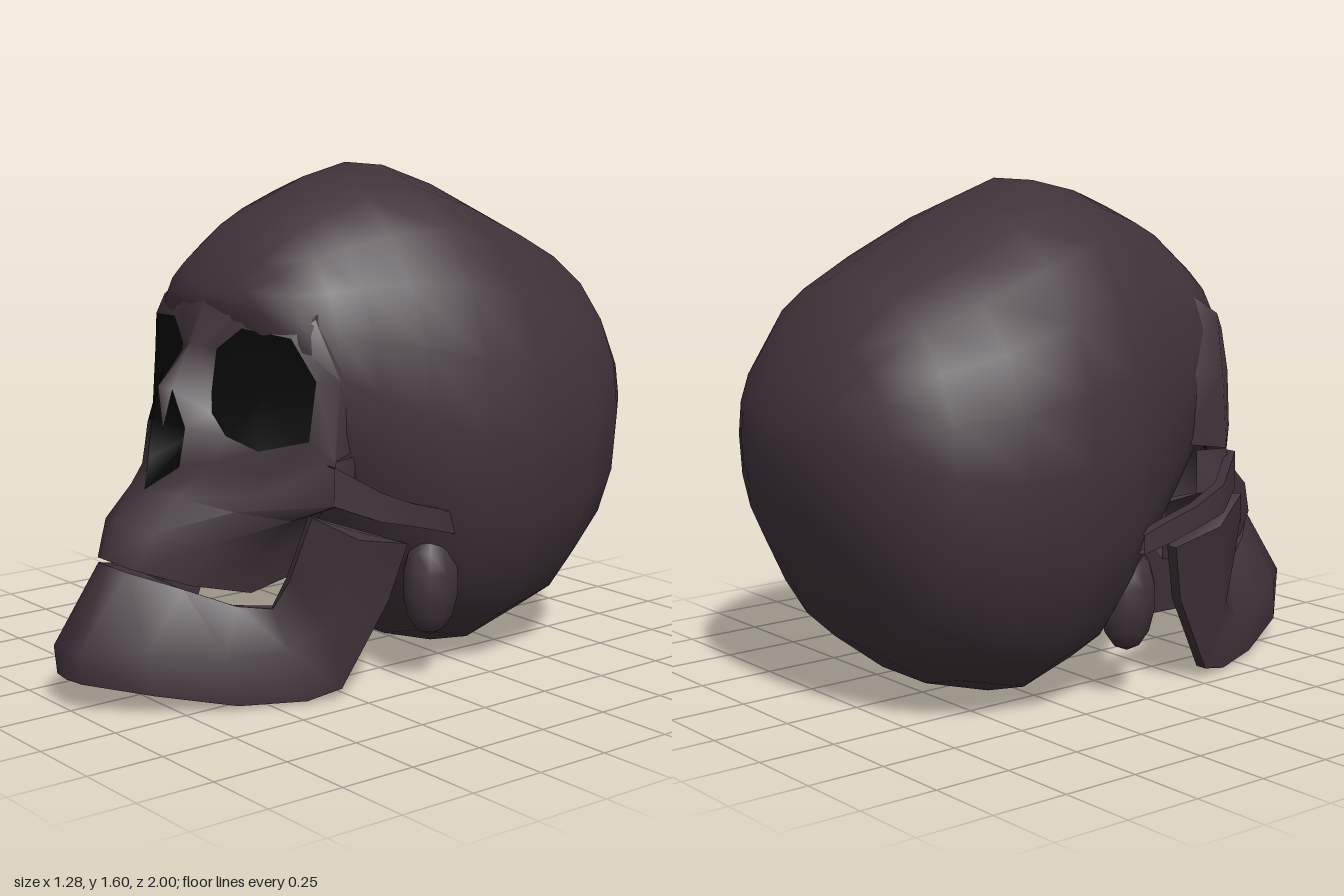
import * as THREE from 'three';
import { toCreasedNormals } from 'three/addons/utils/BufferGeometryUtils.js';

const bone = new THREE.MeshStandardMaterial({ color: 0x3f333a, side: THREE.DoubleSide });
bone.name = 'dark bone';
const hollow = new THREE.MeshStandardMaterial({ color: 0x080808, side: THREE.DoubleSide });
hollow.name = 'black hollow';

// Triangles between neighbouring rows of points, skipping collapsed ones
function grid(rows) {
  const tris = [];
  const same = (p, q) => p.every((v, i) => v === q[i]);
  const add = (a, b, c) => { if (!same(a, b) && !same(b, c) && !same(a, c)) tris.push([a, b, c]); };
  for (let i = 0; i < rows.length - 1; i++) {
    for (let j = 0; j < rows[i].length - 1; j++) {
      const a = rows[i][j], b = rows[i][j + 1], c = rows[i + 1][j + 1], d = rows[i + 1][j];
      add(a, b, c);
      add(a, c, d);
    }
  }
  return tris;
}

const closed = (ring) => [...ring, ring[0]];

// Fan from a centre point to an open or closed line of points
const fan = (centre, line) => grid([line.map(() => centre), line]);

// Copies triangles to the other side of x = 0
function mirrored(tris) {
  const flip = ([x, y, z]) => [-x, y, z];
  return [...tris, ...tris.map(([a, b, c]) => [flip(a), flip(c), flip(b)])];
}

function part(name, tris, material) {
  const geometry = new THREE.BufferGeometry();
  geometry.setAttribute('position', new THREE.Float32BufferAttribute(tris.flat(2), 3));
  const mesh = new THREE.Mesh(toCreasedNormals(geometry, 1.0), material);
  mesh.name = name;
  return mesh;
}

// Braincase: rounded sections from back to front
function braincase() {
  // z, top, bottom, half width, height of the widest point
  const sections = [
    [-1, 0.93, 0.78, 0.11, 0.86], [-0.96, 1.04, 0.61, 0.29, 0.84], [-0.89, 1.17, 0.44, 0.42, 0.82],
    [-0.76, 1.325, 0.21, 0.54, 0.8], [-0.57, 1.42, 0.07, 0.63, 0.78], [-0.33, 1.54, 0, 0.64, 0.78],
    [-0.13, 1.61, 0.06, 0.615, 0.8], [0.05, 1.57, 0.25, 0.545, 0.88], [0.2, 1.51, 0.42, 0.48, 0.95],
    [0.3, 1.455, 0.55, 0.44, 1], [0.4, 1.36, 0.78, 0.37, 1.1], [0.46, 1.27, 1.1, 0.22, 1.19],
    [0.48, 1.23, 1.16, 0.1, 1.2],
  ];
  const sides = 22;
  const rows = sections.map(([z, top, bottom, w, mid]) => {
    const ring = [];
    for (let i = 0; i < sides; i++) {
      const t = (i / sides) * Math.PI * 2;
      const c = Math.cos(t), s = Math.sin(t);
      const power = s > 0 ? 2 / 2.1 : 2 / 2.3;
      const h = s > 0 ? top - mid : mid - bottom;
      ring.push([
        Math.sign(c) * Math.abs(c) ** power * w,
        mid + Math.sign(s) * Math.abs(s) ** power * h,
        z,
      ]);
    }
    return closed(ring);
  });
  const cap = (row, y, z) => row.map(() => [0, y, z]);
  return grid([cap(rows[0], 0.86, -1), ...rows, cap(rows[0], 1.2, 0.485)]);
}

// Eye socket edge, and the bone loop around it, starting beside the nose
const rim = [
  [0.09, 0.94, 0.52], [0.09, 1.07, 0.5], [0.18, 1.14, 0.47], [0.36, 1.125, 0.42], [0.43, 1, 0.38],
  [0.42, 0.82, 0.4], [0.3, 0.785, 0.5], [0.19, 0.82, 0.54], [0.12, 0.88, 0.54],
];
const around = [
  [0.04, 0.95, 0.63], [0.03, 1.08, 0.525], [0.17, 1.22, 0.455], [0.4, 1.18, 0.36], [0.47, 1, 0.32],
  [0.47, 0.76, 0.34], [0.33, 0.72, 0.48], [0.18, 0.74, 0.59], [0.09, 0.84, 0.62],
];

// Upper jaw and cheek: rows from the tooth edge up to the socket
const upperJaw = [
  [[0, 0.45, 0.86], [0.1, 0.43, 0.82], [0.2, 0.38, 0.68], [0.26, 0.34, 0.5], [0.22, 0.36, 0.3]],
  [[0, 0.56, 0.82], [0.13, 0.54, 0.77], [0.23, 0.5, 0.65], [0.28, 0.46, 0.48], [0.24, 0.47, 0.28]],
  [[0, 0.645, 0.71], [0.12, 0.64, 0.68], [0.26, 0.6, 0.56], [0.36, 0.57, 0.42], [0.3, 0.57, 0.25]],
  [[0.085, 0.72, 0.64], [0.15, 0.69, 0.62], [0.31, 0.65, 0.51], [0.49, 0.63, 0.36], [0.44, 0.62, 0.24]],
  [around[8], around[7], around[6], around[5], [0.44, 0.76, 0.24]],
];

function face() {
  const browMid = [0, 1.22, 0.48], bridgeTop = [0, 1.09, 0.53];
  const bridgeLow = [0, 0.96, 0.655], noseTip = [0, 0.82, 0.64];
  const palate = [0.8, 0.75, 0.65, 0.5, 0.3].map((z) => [0, 0.5, z]);
  return mirrored([
    ...grid([closed(rim), closed(around)]),
    ...grid([[browMid, bridgeTop, bridgeLow, noseTip], [around[2], around[1], around[0], around[0]]]),
    // Brow and temple run back into the braincase
    ...grid([
      [browMid, ...around.slice(2, 6)],
      [[0, 1.32, 0.41], [0.17, 1.3, 0.4], [0.36, 1.24, 0.29], [0.44, 1, 0.2], [0.42, 0.78, 0.2]],
    ]),
    ...grid(upperJaw),
    ...grid([palate, upperJaw[0]]),
  ]);
}

// Cheek arch: flat bar bowed away from the temple
function cheekArch() {
  const stations = [
    [0.47, 0.69, 0.36, 0.06], [0.545, 0.625, 0.24, 0.045], [0.555, 0.585, 0.12, 0.035],
    [0.55, 0.55, 0, 0.035], [0.53, 0.52, -0.08, 0.03],
  ];
  return mirrored(grid(stations.map(([x, y, z, h]) => closed([
    [x + 0.02, y + h, z], [x + 0.02, y - h, z], [x - 0.02, y - h, z], [x - 0.02, y + h, z],
  ]))));
}

// Lower jaw: sections from the chin to the jaw joint
// (top edge, outer side, lower edge, inner lower edge, inner top)
function lowerJaw() {
  const stations = [
    [[0, 0.43, 0.85], [0, 0.19, 1], [0, 0.1, 1], [0, 0.06, 0.88], [0, 0.42, 0.78]],
    [[0.08, 0.42, 0.83], [0.07, 0.19, 1], [0.07, 0.1, 0.99], [0.06, 0.06, 0.86], [0.07, 0.41, 0.77]],
    [[0.19, 0.37, 0.7], [0.21, 0.2, 0.84], [0.22, 0.07, 0.83], [0.17, 0.04, 0.75], [0.15, 0.36, 0.68]],
    [[0.27, 0.31, 0.56], [0.33, 0.18, 0.64], [0.33, 0.02, 0.6], [0.27, 0.01, 0.56], [0.22, 0.3, 0.54]],
    [[0.33, 0.3, 0.47], [0.4, 0.18, 0.46], [0.41, 0.015, 0.4], [0.36, 0.015, 0.4], [0.3, 0.3, 0.45]],
    [[0.4, 0.4, 0.46], [0.46, 0.25, 0.36], [0.44, 0.04, 0.29], [0.4, 0.04, 0.29], [0.36, 0.4, 0.44]],
    [[0.44, 0.52, 0.44], [0.49, 0.45, 0.3], [0.48, 0.3, 0.14], [0.44, 0.3, 0.14], [0.41, 0.52, 0.43]],
    [[0.46, 0.6, 0.42], [0.51, 0.52, 0.28], [0.51, 0.48, 0.09], [0.47, 0.48, 0.09], [0.43, 0.6, 0.41]],
  ].map(closed);
  const end = stations[0].map(() => [0.48, 0.54, 0.27]);
  return mirrored(grid([...stations, end]));
}

export function createModel() {
  const skull = new THREE.Group();
  skull.name = 'skull';
  skull.add(part('braincase', braincase(), bone));

  // The face sits slightly off the centre line
  const front = new THREE.Group();
  front.name = 'faceAndJaw';
  front.position.x = -0.02;
  const noseEdge = [around[0], around[8], upperJaw[3][0], upperJaw[2][0]];
  front.add(
    part('face', face(), bone),
    part('cheekArches', cheekArch(), bone),
    part('lowerJaw', lowerJaw(), bone),
    part('eyeSockets', mirrored(fan([0.27, 0.96, 0.455], closed(rim).reverse())), hollow),
    part('noseCavity', mirrored(fan([0, 0.8, 0.52], [[0, 0.95, 0.62], ...noseEdge].reverse())), hollow),
  );
  skull.add(front);

  // Bony knobs behind the jaw joint
  for (const side of [-1, 1]) {
    const knob = new THREE.Mesh(new THREE.SphereGeometry(1, 10, 7), bone);
    knob.name = side > 0 ? 'leftEarKnob' : 'rightEarKnob';
    knob.scale.set(0.08, 0.17, 0.1);
    knob.position.set(side * 0.45, 0.33, -0.04);
    skull.add(knob);
  }
  return skull;
}
